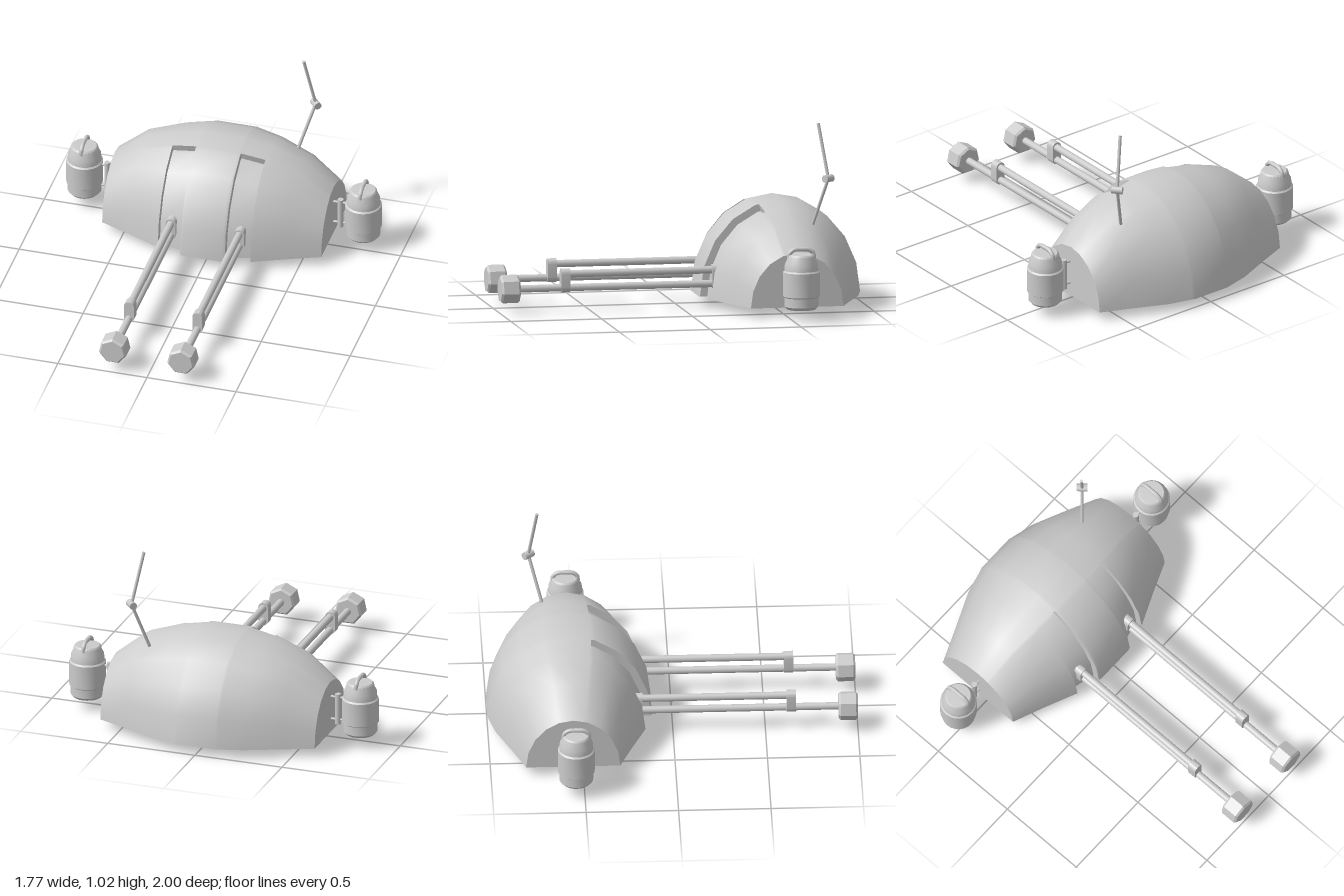
import * as THREE from 'three';
import { toCreasedNormals } from 'three/addons/utils/BufferGeometryUtils.js';

const grey = new THREE.MeshStandardMaterial({ color: 0xcccccc });
const V = (x, y, z) => new THREE.Vector3(x, y, z);

function add(parent, name, geometry, x = 0, y = 0, z = 0) {
  const mesh = new THREE.Mesh(geometry, grey);
  mesh.name = name;
  mesh.position.set(x, y, z);
  parent.add(mesh);
  return mesh;
}

// Straight round bar between two points
function bar(parent, name, a, b, radius, sides = 10) {
  const mesh = add(parent, name, new THREE.CylinderGeometry(radius, radius, a.distanceTo(b), sides));
  mesh.position.copy(a).add(b).multiplyScalar(0.5);
  mesh.quaternion.setFromUnitVectors(V(0, 1, 0), b.clone().sub(a).normalize());
  return mesh;
}

function lathe(points, sides, crease = 0.6, start = 0) {
  const profile = points.map(([r, y]) => new THREE.Vector2(r, y));
  return toCreasedNormals(new THREE.LatheGeometry(profile, sides, start), crease);
}

// Half-barrel shell with two recessed channels in its front
function shellGeometry() {
  const base = 0.05, zc = -0.555, depth = 0.04, steps = 10;
  // x, half depth, height, inside a channel
  const half = [
    [0.11, 0.445, 0.52, 0], [0.125, 0.44, 0.517, 0], [0.125, 0.44, 0.517, 1],
    [0.26, 0.405, 0.492, 1], [0.26, 0.405, 0.492, 0], [0.45, 0.322, 0.43, 0], [0.615, 0.255, 0.295, 0],
  ];
  const cols = [...half.map(([x, ...r]) => [-x, ...r]).reverse(), ...half];
  // angular step, channel is cut here
  const rows = [[0, 1], [1, 1], [2, 1], [3, 1], [4, 1], [4.15, 1], [4.15, 0]];
  for (let t = 5; t <= steps; t++) rows.push([t, 0]);

  const pos = [], index = [], n = rows.length;
  const quad = (a, b, c, d) => index.push(a, b, c, a, c, d);
  for (const [x, rz, ry, inside] of cols) {
    for (const [t, cut] of rows) {
      const d = inside && cut ? depth : 0;
      const t0 = Math.floor(t), f = t - t0;
      const a0 = (t0 * Math.PI) / steps, a1 = ((t0 + 1) * Math.PI) / steps;
      const c = Math.cos(a0) * (1 - f) + Math.cos(a1) * f;
      const s = Math.sin(a0) * (1 - f) + Math.sin(a1) * f;
      pos.push(x, base + (ry - d) * s, zc + (rz - d) * c);
    }
  }
  for (let i = 0; i < cols.length - 1; i++) {
    const p = i * n, q = p + n;
    for (let j = 0; j < n - 1; j++) quad(p + j, q + j, q + j + 1, p + j + 1);
    quad(p, p + n - 1, q + n - 1, q); // underside
  }
  // Flat ends
  const last = (cols.length - 1) * n;
  for (let j = 1; j < n - 1; j++) {
    index.push(0, j, j + 1);
    index.push(last, last + j + 1, last + j);
  }
  const g = new THREE.BufferGeometry();
  g.setAttribute('position', new THREE.Float32BufferAttribute(pos, 3));
  g.setIndex(index);
  return toCreasedNormals(g, 0.6);
}

// Upright rounded link that ties the two rods of an arm together
function linkGeometry() {
  const r = 0.028, h = 0.037;
  const s = new THREE.Shape();
  s.absarc(0, h, r, 0, Math.PI);
  s.absarc(0, -h, r, Math.PI, Math.PI * 2);
  s.closePath();
  const g = new THREE.ExtrudeGeometry(s, { depth: 0.05, bevelEnabled: false, curveSegments: 8 });
  return toCreasedNormals(g.translate(0, 0, -0.025), 0.6);
}

function createArm(x) {
  const arm = new THREE.Group();
  arm.name = 'frontArm';
  arm.position.x = x;
  bar(arm, 'upperRod', V(0, 0.205, -0.22), V(0, 0.205, 0.65), 0.02, 12);
  bar(arm, 'lowerRod', V(0, 0.13, -0.2), V(0, 0.13, 0.92), 0.02, 12);
  add(arm, 'frontLink', linkGeometry(), 0, 0.17, 0.64);
  add(arm, 'rearLink', linkGeometry(), 0, 0.17, -0.19);
  // Seven-sided bumper with bevelled rims
  const bumper = [[0, -0.052], [0.068, -0.052], [0.079, -0.041], [0.079, 0.041], [0.068, 0.052], [0, 0.052]];
  add(arm, 'bumper', lathe(bumper, 7, 0.3, Math.PI), 0, 0.13, 0.948).rotation.x = Math.PI / 2;
  return arm;
}

function createTank(side) {
  const tank = new THREE.Group();
  tank.name = side > 0 ? 'leftTank' : 'rightTank';
  tank.position.set(side * 0.783, 0, -0.545);
  const profile = [
    [0, 0.065], [0.078, 0.065], [0.092, 0.08], [0.092, 0.13], [0.1, 0.136],
    [0.1, 0.268], [0.092, 0.276], [0.09, 0.31], [0.078, 0.335], [0.074, 0.355], [0.066, 0.363], [0, 0.365],
  ];
  add(tank, 'tankBody', lathe(profile, 24));
  // Arched carrying handle
  const arch = new THREE.CatmullRomCurve3([
    V(0, 0.34, 0.068), V(0, 0.37, 0.064), V(0, 0.389, 0.04), V(0, 0.391, 0),
    V(0, 0.389, -0.04), V(0, 0.37, -0.064), V(0, 0.34, -0.068),
  ]);
  add(tank, 'tankHandle', new THREE.TubeGeometry(arch, 24, 0.012, 8));
  // Mounting post and pins
  const post = -side * 0.128;
  bar(tank, 'mountPost', V(post, 0.1, 0), V(post, 0.275, 0), 0.016);
  for (const y of [0.125, 0.255]) {
    bar(tank, 'mountPin', V(-side * 0.08, y, 0), V(-side * 0.18, y, 0), 0.007, 8);
  }
  return tank;
}

function createAntenna() {
  const antenna = new THREE.Group();
  antenna.name = 'antenna';
  const joint = V(0.455, 0.725, -0.757);
  bar(antenna, 'lowerMast', V(0.375, 0.46, -0.685), joint, 0.009, 8);
  bar(antenna, 'upperMast', joint, V(0.4, 1.02, -0.712), 0.009, 8);
  const axis = V(0.65, 0, 0.76).multiplyScalar(0.03);
  bar(antenna, 'mastJoint', joint.clone().sub(axis), joint.clone().add(axis), 0.021, 10);
  return antenna;
}

export function createModel() {
  const model = new THREE.Group();
  model.name = 'vehicle';
  const body = new THREE.Group();
  body.name = 'body';
  body.position.x = -0.004;
  model.add(body);

  add(body, 'shell', shellGeometry());
  // Round pad under the shell
  const pad = [[0, 0.008], [0.125, 0.008], [0.132, 0], [0.145, 0], [0.168, 0.02], [0.168, 0.042], [0.158, 0.05], [0, 0.05]];
  add(body, 'basePad', lathe(pad, 32), -0.006, 0, -0.542);

  for (const side of [-1, 1]) {
    body.add(createArm(side * 0.192));
    body.add(createTank(side));
  }
  body.add(createAntenna());
  return model;
}
